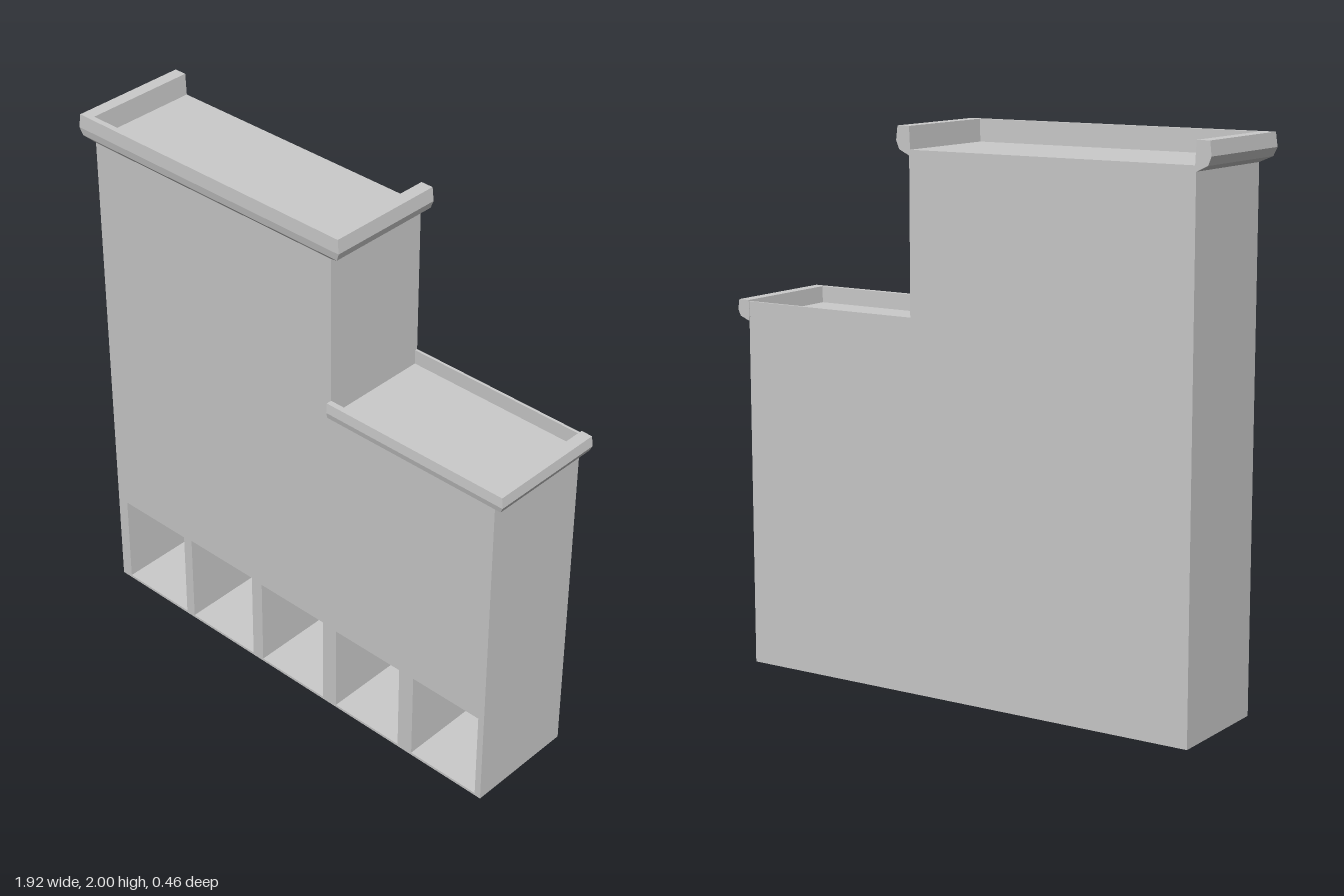
import * as THREE from 'three';

const LEFT = -0.905, STEP = 0.2, RIGHT = 0.91;
const FRONT = 0.205, BACK = -0.225, NICHE_BACK = -0.125;
const TALL_ROOF = 1.92, LOW_ROOF = 1.29;

const material = new THREE.MeshStandardMaterial({ color: 0xcccccc, flatShading: true });

// Stepped facade outline
function outline() {
  return new THREE.Shape([
    [LEFT, 0], [RIGHT, 0], [RIGHT, LOW_ROOF], [STEP, LOW_ROOF], [STEP, TALL_ROOF], [LEFT, TALL_ROOF],
  ].map(([x, y]) => new THREE.Vector2(x, y)));
}

// Moulding swept along stations [x, z, outward x, outward z], mitred at corners
function corniceGeometry(stations, bottom, height) {
  // [outset, height fraction], from the wall round the outside to the inner face
  const profile = [[0, 0], [0.042, 0.2], [0.054, 0.5], [0.048, 1], [0, 1], [-0.004, 0.2]];
  const rings = stations.map(([x, z, dx, dz]) =>
    profile.map(([o, h]) => [x + o * dx, bottom + h * height, z + o * dz]));
  const pos = [];
  const tri = (...points) => points.forEach((p) => pos.push(...p));
  const n = profile.length;
  for (let i = 0; i < rings.length - 1; i++) {
    for (let j = 0; j < n; j++) {
      const k = (j + 1) % n;
      const a = rings[i][j], b = rings[i + 1][j], c = rings[i + 1][k], d = rings[i][k];
      tri(a, b, c);
      tri(a, c, d);
    }
  }
  // End caps
  const first = rings[0], last = rings[rings.length - 1];
  for (let j = 1; j < n - 1; j++) {
    tri(first[0], first[j], first[j + 1]);
    tri(last[0], last[j + 1], last[j]);
  }
  const geometry = new THREE.BufferGeometry();
  geometry.setAttribute('position', new THREE.Float32BufferAttribute(pos, 3));
  geometry.computeVertexNormals();
  return geometry;
}

export function createModel() {
  const model = new THREE.Group();
  model.name = 'steppedBuilding';
  const add = (name, geometry) => {
    const mesh = new THREE.Mesh(geometry, material);
    mesh.name = name;
    model.add(mesh);
    return mesh;
  };

  // Front of the building with five ground-floor niches: [left, right, top]
  const facade = outline();
  const niches = [
    [-0.86, -0.55, 0.365], [-0.51, -0.195, 0.37], [-0.145, 0.16, 0.365],
    [0.225, 0.525, 0.36], [0.59, 0.885, 0.36],
  ];
  for (const [l, r, t] of niches) {
    facade.holes.push(new THREE.Path([
      new THREE.Vector2(l, 0.01), new THREE.Vector2(l, t),
      new THREE.Vector2(r, t), new THREE.Vector2(r, 0.01),
    ]));
  }
  add('frontBlock', new THREE.ExtrudeGeometry(facade, { depth: FRONT - NICHE_BACK, bevelEnabled: false }))
    .position.z = NICHE_BACK;

  // Solid rear closing the niches
  add('rearBlock', new THREE.ExtrudeGeometry(outline(), { depth: NICHE_BACK - BACK, bevelEnabled: false }))
    .position.z = BACK;

  // Cornices: the tall roof has three sides, the low roof butts against the tall wall
  const f = 0.44; // the moulding projects less at the front
  add('tallCornice', corniceGeometry([
    [LEFT, BACK, -1, 0], [LEFT, FRONT, -1, f], [STEP, FRONT, 1, f], [STEP, BACK, 1, 0],
  ], 1.9, 0.1));
  add('lowCornice', corniceGeometry([
    [STEP, FRONT, 0, f], [RIGHT, FRONT, 0.9, f], [RIGHT, BACK - 0.003, 0.9, 0],
  ], 1.275, 0.075));

  // Thin parapet behind the low roof
  const parapetHeight = 1.345 - LOW_ROOF;
  add('rearParapet', new THREE.BoxGeometry(RIGHT - STEP, parapetHeight, 0.01))
    .position.set((RIGHT + STEP) / 2, LOW_ROOF + parapetHeight / 2, BACK + 0.005);

  return model;
}
